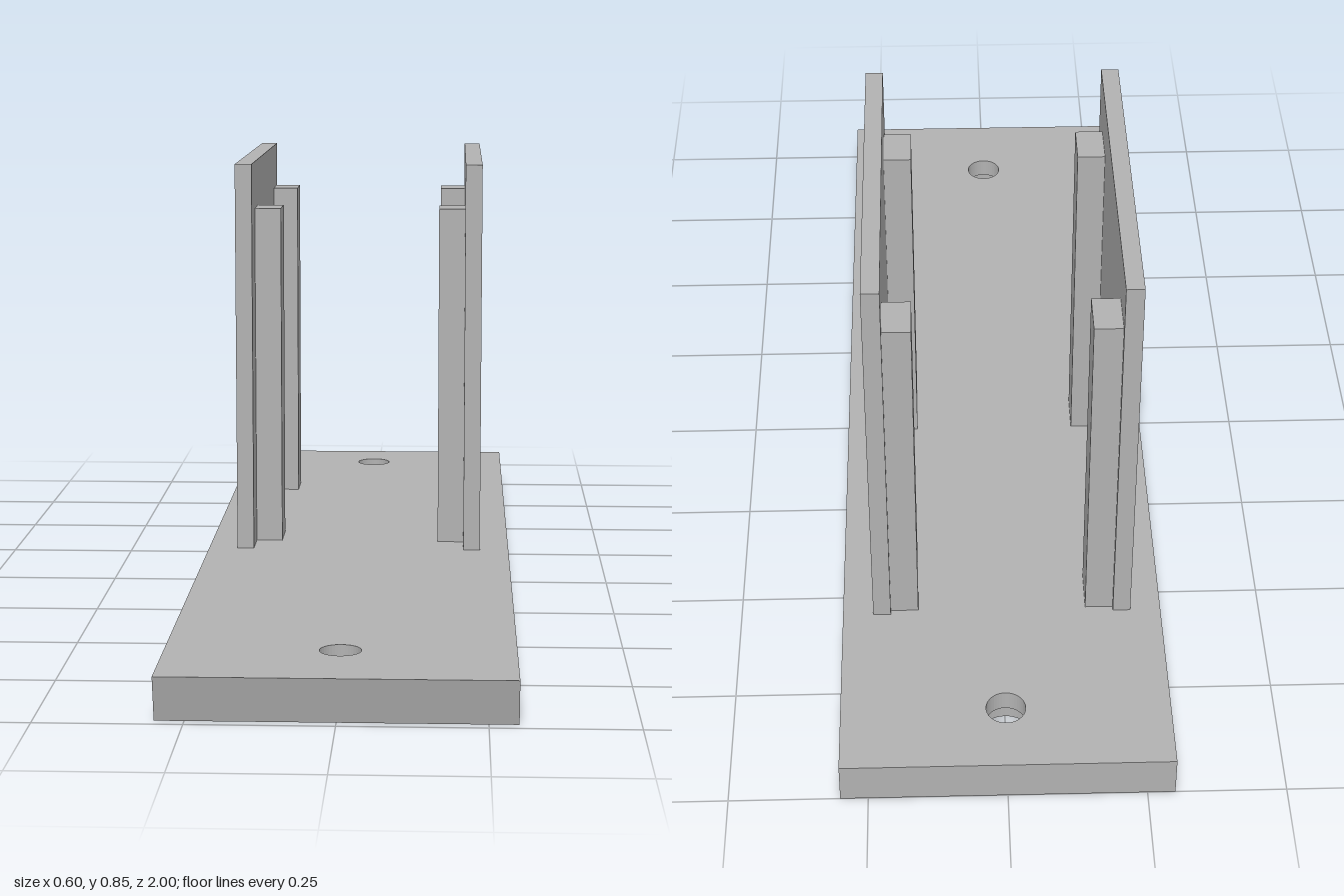
import * as THREE from 'three';

const BASE_TOP = 0.08;
const LEDGE = 0.04; // height where the wide screw recess meets the narrow bore

// One layer of the base plate, with two round holes and a bevelled front end.
function baseLayer(y0, y1, holeRadius) {
  const shape = new THREE.Shape();
  shape.moveTo(-0.3, -1);
  shape.lineTo(0.3, -1);
  shape.lineTo(0.3, 1);
  shape.lineTo(-0.3, 1);
  shape.closePath();
  for (const z of [-0.865, 0.825]) {
    const hole = new THREE.Path();
    hole.absarc(0, -z, holeRadius, 0, Math.PI * 2, true);
    shape.holes.push(hole);
  }
  const geo = new THREE.ExtrudeGeometry(shape, { depth: y1 - y0, bevelEnabled: false, curveSegments: 20 });
  geo.rotateX(-Math.PI / 2);
  geo.translate(0, y0, 0);
  // Lean the front end: its lower edge sits slightly further back.
  const pos = geo.attributes.position;
  for (let i = 0; i < pos.count; i++) {
    if (pos.getZ(i) > 0.99) pos.setZ(i, 1 - 0.02 * (1 - pos.getY(i) / BASE_TOP));
  }
  geo.computeVertexNormals();
  return geo;
}

export function createModel() {
  const model = new THREE.Group();
  model.name = 'bracket';
  const grey = new THREE.MeshStandardMaterial({ color: 0xb2b2b2 });
  grey.name = 'plain grey';

  const add = (parent, name, geo) => {
    const mesh = new THREE.Mesh(geo, grey);
    mesh.name = name;
    parent.add(mesh);
  };
  const block = (parent, name, x0, x1, y1, z0, z1) => {
    const geo = new THREE.BoxGeometry(x1 - x0, y1 - BASE_TOP, z1 - z0);
    geo.translate((x0 + x1) / 2, (y1 + BASE_TOP) / 2, (z0 + z1) / 2);
    add(parent, name, geo);
  };

  // Base plate with counterbored screw holes
  const base = new THREE.Group();
  base.name = 'basePlate';
  add(base, 'upperBase', baseLayer(LEDGE, BASE_TOP, 0.036));
  add(base, 'lowerBase', baseLayer(0, LEDGE, 0.052));
  model.add(base);

  // Mirrored side walls, each with two inner posts
  for (const [side, s] of [['left', 1], ['right', -1]]) {
    const span = (a, b) => (s > 0 ? [a, b] : [-b, -a]);
    const group = new THREE.Group();
    group.name = side + 'Side';
    block(group, side + 'Wall', ...span(0.21, 0.243), 0.85, -0.625, 0.062);
    block(group, side + 'BackPost', ...span(0.158, 0.21), 0.757, -0.615, -0.53);
    block(group, side + 'FrontPost', ...span(0.158, 0.21), 0.757, -0.097, -0.012);
    model.add(group);
  }
  return model;
}
